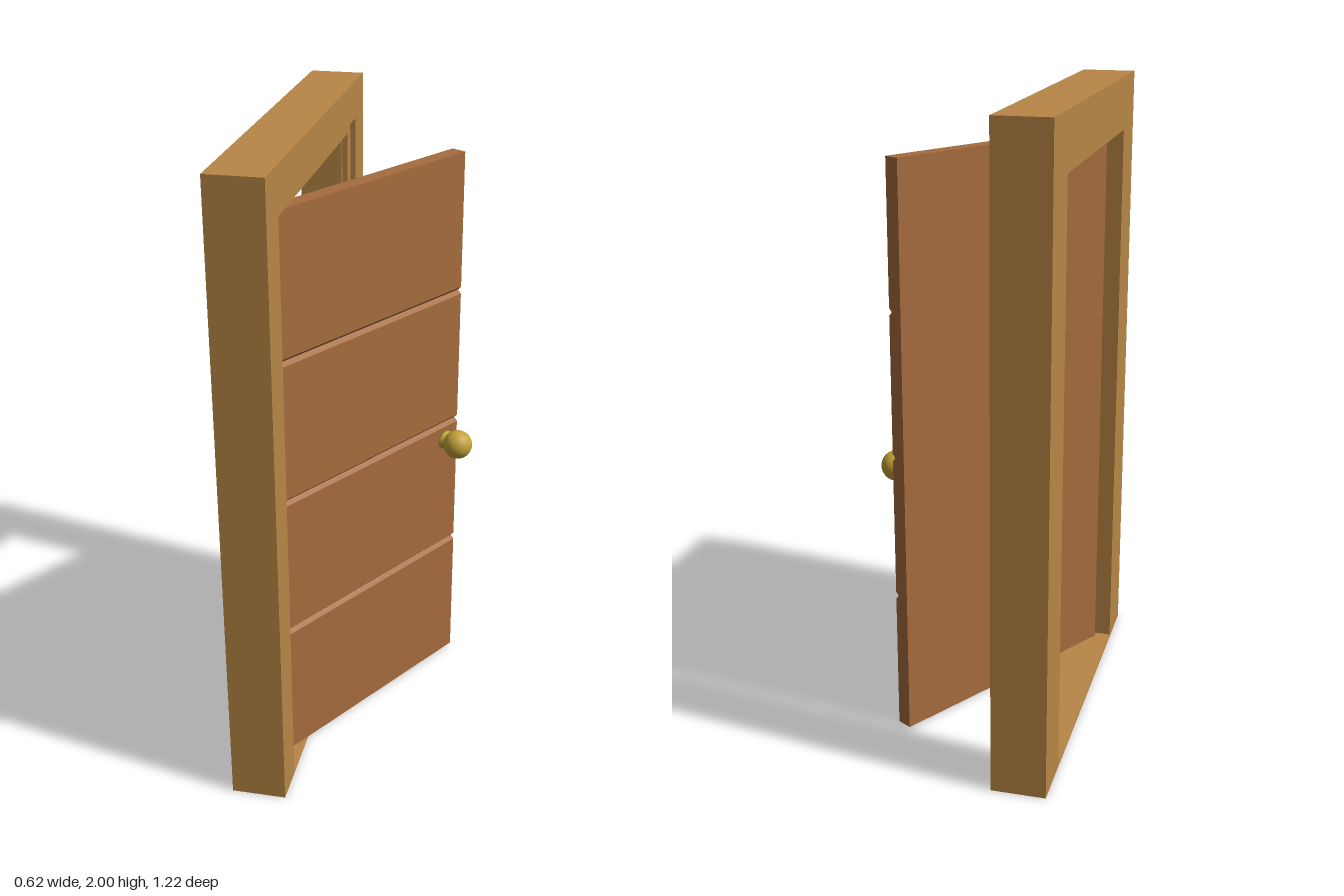
import * as THREE from 'three';

const mat = (name, color) => {
  const m = new THREE.MeshStandardMaterial({ color });
  m.name = name;
  return m;
};

export function createModel() {
  const model = new THREE.Group();
  const frameWood = mat('light wood', 0xb88646);
  const doorWood = mat('reddish wood', 0xa66c3e);
  const brass = mat('brass', 0xc4a23a);

  const add = (parent, name, geometry, material) => {
    const mesh = new THREE.Mesh(geometry, material);
    mesh.name = name;
    parent.add(mesh);
    return mesh;
  };

  // Frame: three stacked rings whose openings step outwards
  const frame = new THREE.Group();
  frame.name = 'frame';
  model.add(frame);
  const rectangle = (Type, half, bottom, top) => new Type([
    [-half, bottom], [half, bottom], [half, top], [-half, top],
  ].map(([x, y]) => new THREE.Vector2(x, y)));
  const ring = (name, x0, x1, half, bottom, top) => {
    const shape = rectangle(THREE.Shape, 0.61, 0, 2);
    shape.holes.push(rectangle(THREE.Path, half, bottom, top));
    const geometry = new THREE.ExtrudeGeometry(shape, { depth: x1 - x0, bevelEnabled: false });
    geometry.rotateY(Math.PI / 2).translate(x0, 0, 0);
    add(frame, name, geometry, frameWood);
  };
  ring('jamb', -0.31, -0.175, 0.435, 0.01, 1.83);
  ring('doorStop', -0.175, -0.157, 0.447, 0.008, 1.84);
  ring('casing', -0.157, -0.14, 0.49, 0.005, 1.88);

  // Door: local z runs from the free edge to the hinge, local x through the thickness
  const door = new THREE.Group();
  door.name = 'door';
  door.position.set(0.2, 0, -0.345);
  door.rotation.y = -0.545;
  model.add(door);

  // Slab profile with V grooves between the four panels
  const thick = 0.051, bottom = 0.007, top = 1.838;
  const profile = new THREE.Shape();
  profile.moveTo(0, bottom);
  profile.lineTo(thick, bottom);
  for (const y of [0.461, 0.923, 1.381]) {
    profile.lineTo(thick, y - 0.012);
    profile.lineTo(thick - 0.012, y);
    profile.lineTo(thick, y + 0.012);
  }
  profile.lineTo(thick, top);
  profile.lineTo(0, top);
  profile.closePath();
  add(door, 'slab', new THREE.ExtrudeGeometry(profile, { depth: 0.887, bevelEnabled: false }), doorWood);

  // Knob on a flared neck
  const knob = new THREE.Group();
  knob.name = 'knob';
  knob.position.set(thick, 0.865, 0.063);
  door.add(knob);
  const neckPoints = [[0.001, 0], [0.032, 0], [0.031, 0.008], [0.024, 0.02], [0.022, 0.04]]
    .map(([r, y]) => new THREE.Vector2(r, y));
  add(knob, 'neck', new THREE.LatheGeometry(neckPoints, 32), brass).rotation.z = -Math.PI / 2;
  add(knob, 'ball', new THREE.SphereGeometry(0.048, 32, 20), brass).position.x = 0.057;

  return model;
}
